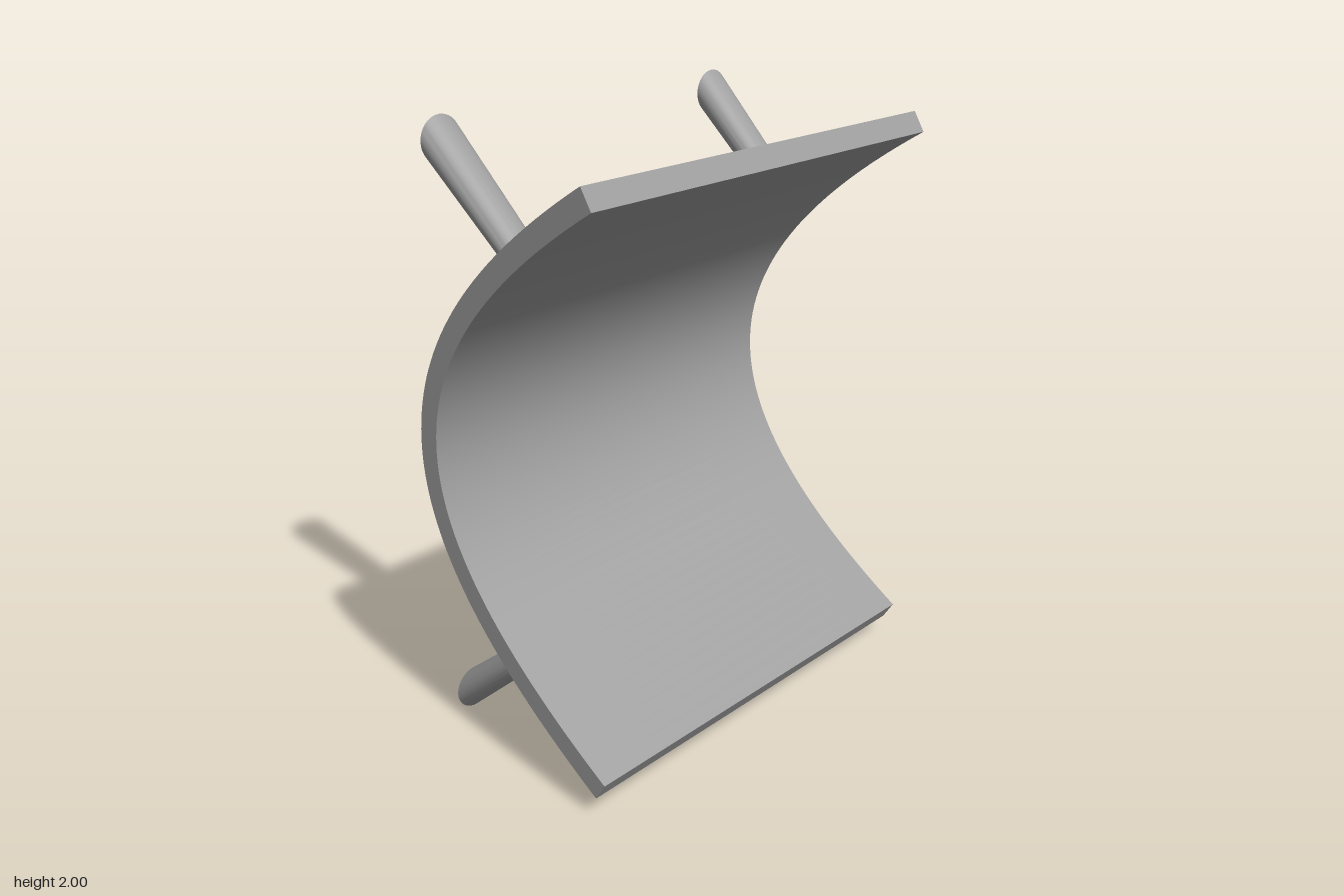
import * as THREE from 'three';
import { toCreasedNormals } from 'three/addons/utils/BufferGeometryUtils.js';

const WIDTH = 1.476, THICK = 0.073, VERTEX_Z = -0.317, CURVE = 0.945, HALF = 0.865;

// Point on the parabolic sheet: t is height from the middle, d is depth behind the inner face
function sheetPoint(t, d) {
  const slope = 2 * CURVE * t, len = Math.hypot(1, slope);
  return new THREE.Vector2(VERTEX_Z + CURVE * t * t - d / len, t + (d * slope) / len);
}

// Curved panel of even thickness, extruded across x
function panelGeometry() {
  const n = 64, inner = [], outer = [];
  for (let i = 0; i <= n; i++) {
    const t = HALF * (2 * i / n - 1);
    inner.push(sheetPoint(t, 0));
    outer.push(sheetPoint(t, THICK));
  }
  const shape = new THREE.Shape([...inner, ...outer.reverse()]);
  const g = new THREE.ExtrudeGeometry(shape, { depth: WIDTH, bevelEnabled: false });
  g.translate(0, 0, -WIDTH / 2).rotateY(-Math.PI / 2);
  return toCreasedNormals(g, 0.5);
}

// Slanted, tapered leg: flat vertical foot at the back, root ending inside the panel
function legGeometry(footX, rootX) {
  const g = new THREE.CylinderGeometry(1, 1, 1, 40);
  const p = g.attributes.position;
  for (let i = 0; i < p.count; i++) {
    const c = p.getX(i), s = p.getZ(i);
    // u runs along the leg; the root is cut along the panel's slope
    const u = p.getY(i) > 0 ? 0
      : (0.389 + 1.15 * (0.303 + 0.073 * s)) / (0.355 + 1.15 * (0.3 + 0.014 * s));
    const r = 0.073 - 0.014 * u;
    p.setXYZ(i, footX + (rootX - footX) * u + r * c, 0.927 - 0.3 * u + r * s, -0.39 + 0.355 * u);
  }
  return toCreasedNormals(g, 0.5);
}

export function createModel() {
  const group = new THREE.Group();
  const grey = new THREE.MeshStandardMaterial({ color: 0x9e9e9e });
  grey.name = 'grey';

  const add = (name, geometry) => {
    const mesh = new THREE.Mesh(geometry, grey);
    mesh.name = name;
    mesh.position.y = 1;
    group.add(mesh);
  };

  add('curvedPanel', panelGeometry());

  // Upper legs, and lower legs turned half round from mirrored x values
  for (const [side, foot, root] of [['left', 0.59, 0.553], ['right', -0.592, -0.592]]) {
    add(side + 'UpperLeg', legGeometry(foot, root));
    add(side + 'LowerLeg', legGeometry(-foot, -root).rotateZ(Math.PI));
  }
  return group;
}
